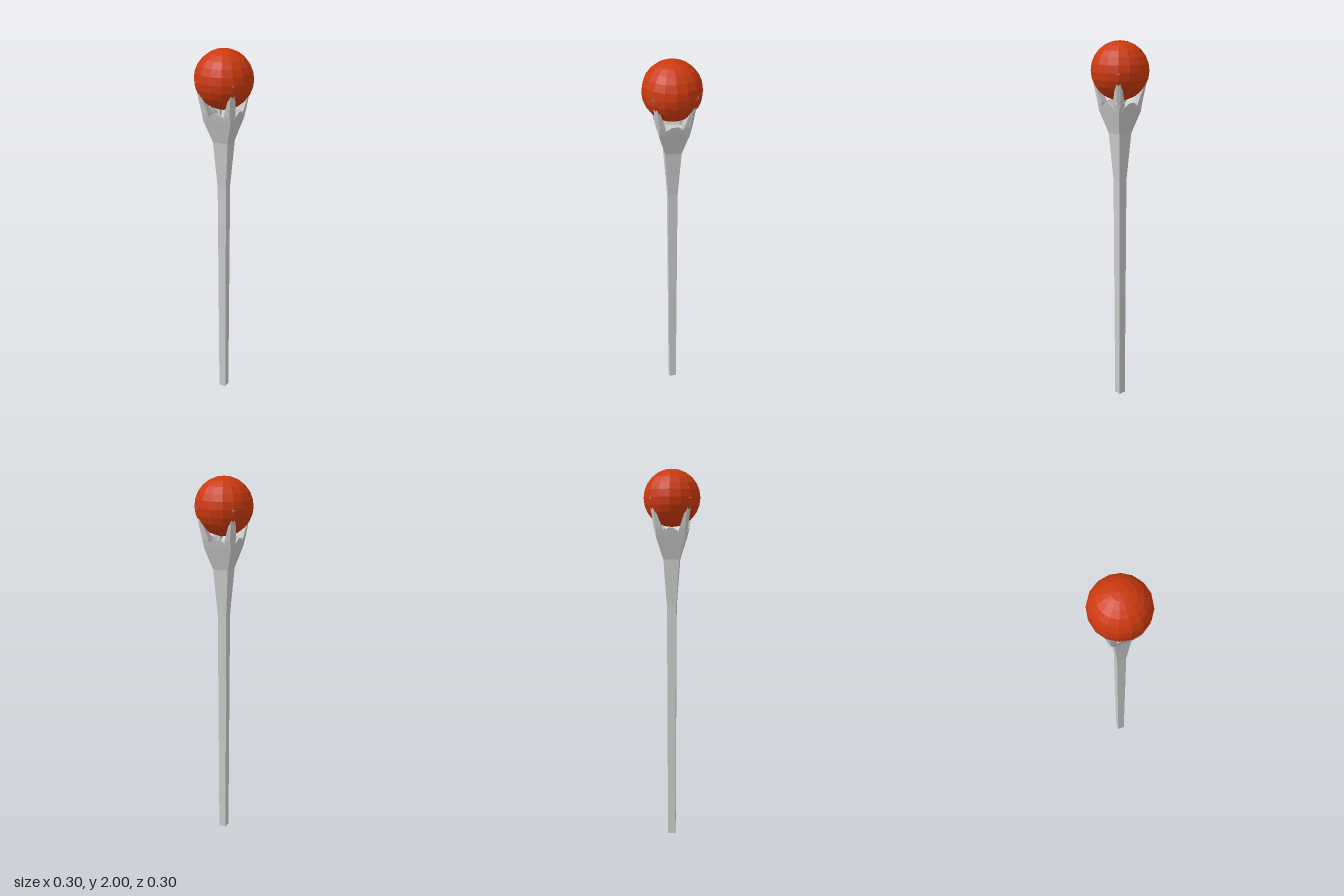
import * as THREE from 'three';

const grey = new THREE.MeshStandardMaterial({ color: 0xcccccc, flatShading: true });
const red = new THREE.MeshStandardMaterial({ color: 0xcc3a10, flatShading: true });

// Closed solid through horizontal sections [y, [[x, z], ...]], listed from bottom to top
function loft(sections) {
  const pos = [];
  const n = sections[0][1].length;
  const at = (s, k) => {
    const [y, pts] = sections[s];
    const [x, z] = pts[k % n];
    return [x, y, z];
  };
  const tri = (...corners) => corners.forEach((p) => pos.push(...p));
  const last = sections.length - 1;
  for (let s = 0; s < last; s++) {
    for (let k = 0; k < n; k++) {
      tri(at(s, k), at(s + 1, k), at(s, k + 1));
      tri(at(s, k + 1), at(s + 1, k), at(s + 1, k + 1));
    }
  }
  for (let k = 1; k < n - 1; k++) {
    tri(at(0, 0), at(0, k), at(0, k + 1));
    tri(at(last, 0), at(last, k + 1), at(last, k));
  }
  const geo = new THREE.BufferGeometry();
  geo.setAttribute('position', new THREE.Float32BufferAttribute(pos, 3));
  geo.computeVertexNormals();
  return geo;
}

const rect = (x0, x1, z0, z1) => [[x0, z0], [x1, z0], [x1, z1], [x0, z1]];
const square = (h) => rect(-h, h, -h, h);
// Square corner section whose outer corner is cut by c
const corner = (lo, hi, c) => [[lo, lo], [hi, lo], [hi, hi - c], [hi - c, hi], [lo, hi]];

export function createModel() {
  const model = new THREE.Group();
  const add = (name, geo, mat = grey) => {
    const mesh = new THREE.Mesh(geo, mat);
    mesh.name = name;
    model.add(mesh);
    return mesh;
  };

  // Slim square shaft flaring into the head, with a sunken floor under the orb
  add('shaft', loft([
    [0, square(0.02)],
    [1.28, square(0.0245)],
    [1.53, square(0.042)],
    [1.65, square(0.078)],
    [1.62, square(0.045)],
  ]));

  // Four claws on the corners and four pointed rim plates between them
  const claw = loft([
    [1.645, corner(0.045, 0.0765, 0.001)],
    [1.69, corner(0.045, 0.088, 0.013)],
    [1.79, corner(0.078, 0.103, 0.014)],
    [1.85, corner(0.1, 0.11, 0.008)],
  ]);
  const plate = loft([
    [1.645, rect(-0.06, 0.06, 0.055, 0.0765)],
    [1.672, rect(-0.048, 0.048, 0.065, 0.084)],
    [1.695, rect(-0.014, 0.014, 0.08, 0.09)],
  ]);
  for (let i = 0; i < 4; i++) {
    add('claw', claw).rotation.y = (i * Math.PI) / 2;
    add('rimPlate', plate).rotation.y = (i * Math.PI) / 2;
  }

  // Faceted orb held by the claws
  add('orb', new THREE.SphereGeometry(0.15, 16, 12), red).position.y = 1.85;

  return model;
}
